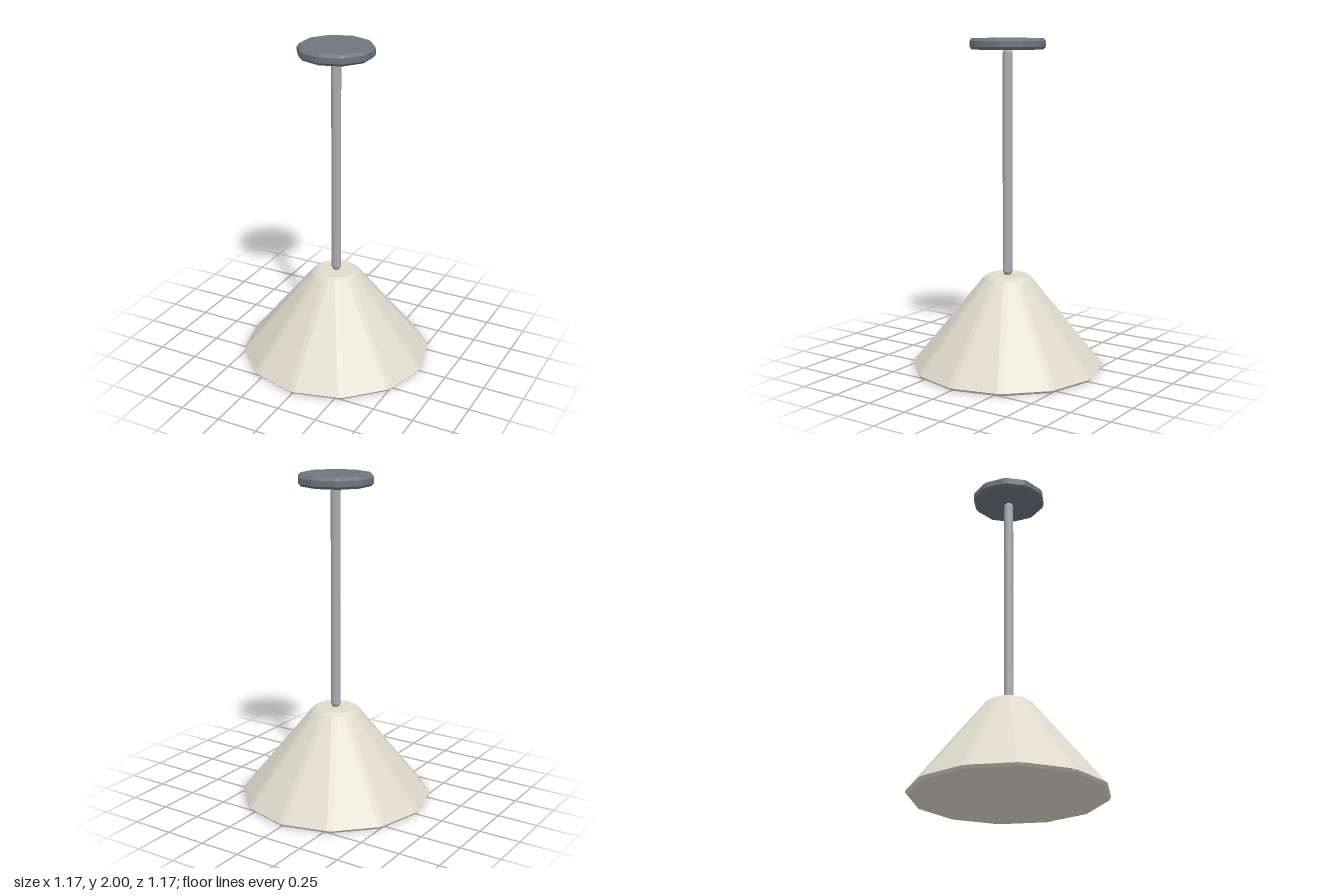
import * as THREE from 'three';

// Polygon ring whose corners are cut back by w along both neighbouring edges.
function ring(n, start, [r, y, w]) {
  const corner = (k) => {
    const a = start + (k * 2 * Math.PI) / n;
    return new THREE.Vector3(r * Math.cos(a), y, r * Math.sin(a));
  };
  const points = [];
  for (let k = 0; k < n; k++) {
    const c = corner(k);
    for (const side of [-1, 1]) {
      const dir = corner(k + side).sub(c).normalize();
      points.push(c.clone().addScaledVector(dir, w));
    }
  }
  return points;
}

// Closed bevelled prism from rings [radius, height, corner cut], listed bottom to top.
function bevelledPrism(name, color, n, start, profile) {
  const rings = profile.map((p) => ring(n, start, p));
  const positions = [];
  const tri = (a, b, c) => {
    const area = b.clone().sub(a).cross(c.clone().sub(a)).length();
    if (area > 1e-8) for (const p of [a, b, c]) positions.push(p.x, p.y, p.z);
  };
  const m = 2 * n;
  const bottom = rings[0], top = rings[rings.length - 1];
  const low = new THREE.Vector3(0, profile[0][1], 0);
  const high = new THREE.Vector3(0, profile[profile.length - 1][1], 0);
  for (let i = 0; i < m; i++) {
    const j = (i + 1) % m;
    for (let k = 0; k < rings.length - 1; k++) {
      const a = rings[k], b = rings[k + 1];
      tri(a[i], b[i], b[j]);
      tri(a[i], b[j], a[j]);
    }
    tri(low, bottom[i], bottom[j]);
    tri(high, top[j], top[i]);
  }
  const geometry = new THREE.BufferGeometry();
  geometry.setAttribute('position', new THREE.Float32BufferAttribute(positions, 3));
  geometry.computeVertexNormals();
  const mesh = new THREE.Mesh(geometry, new THREE.MeshStandardMaterial({ color, flatShading: true }));
  mesh.name = name;
  return mesh;
}

export function createModel() {
  const group = new THREE.Group();
  group.name = 'pendantLamp';

  // Twelve-sided conical shade, closed at both ends
  group.add(bevelledPrism('shade', 0xdedbcd, 12, 0, [
    [0.575, 0, 0], [0.589, 0.016, 0.018], [0.152, 0.556, 0.018], [0.122, 0.575, 0],
  ]));

  // Thin hanging rod with chamfered ends
  group.add(bevelledPrism('rod', 0xa9acb1, 8, 0, [
    [0.019, 0.572, 0], [0.031, 0.595, 0.006], [0.031, 1.918, 0.006], [0.019, 1.942, 0],
  ]));

  // Ten-sided ceiling plate
  group.add(bevelledPrism('ceilingPlate', 0x70747e, 10, Math.PI / 2, [
    [0.213, 1.934, 0], [0.23, 1.95, 0.016], [0.23, 1.984, 0.016], [0.213, 2, 0],
  ]));

  return group;
}
